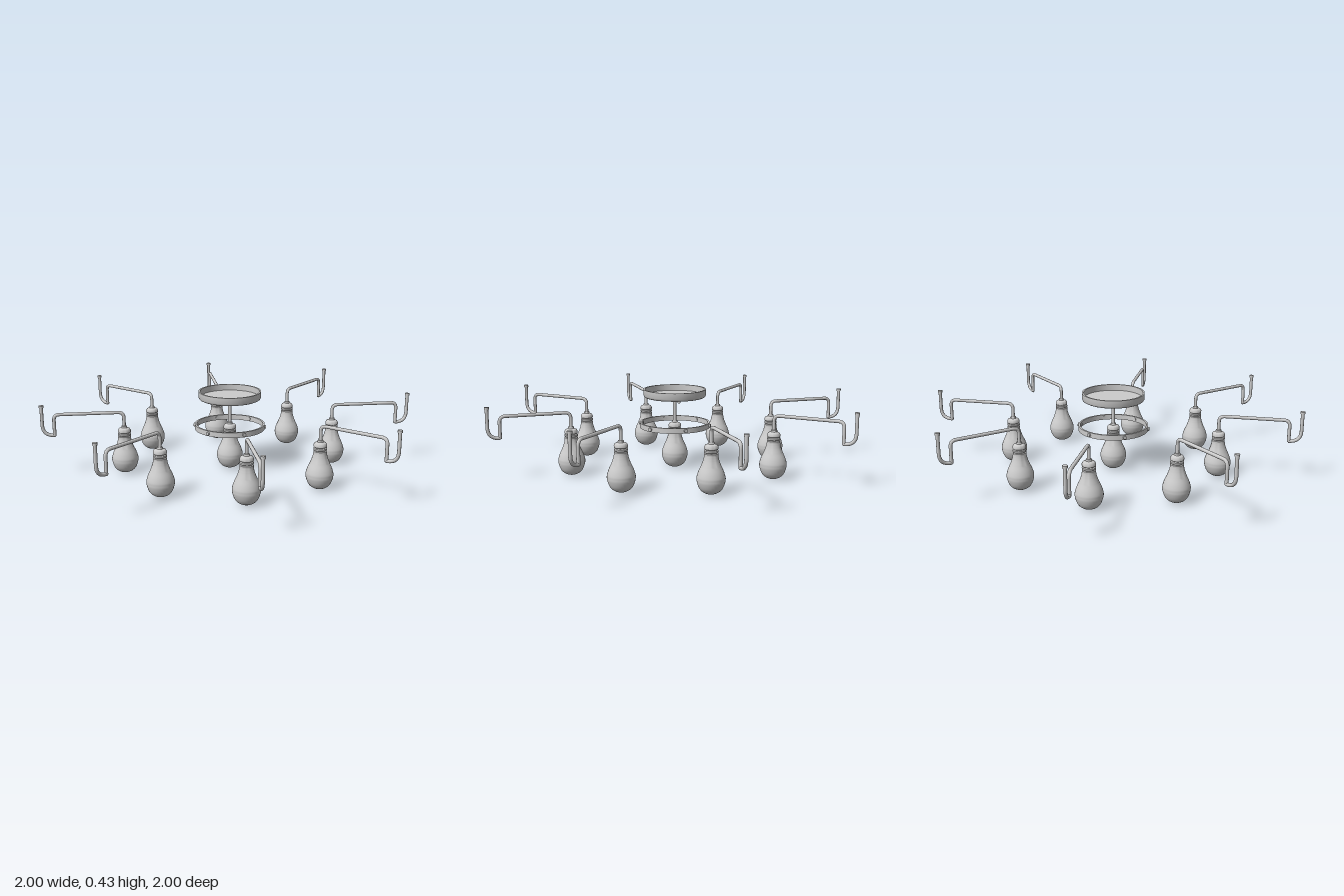
import * as THREE from 'three';
import { toCreasedNormals } from 'three/addons/utils/BufferGeometryUtils.js';

const material = new THREE.MeshStandardMaterial({ color: 0xcccccc, side: THREE.DoubleSide });
const V = (x, y) => new THREE.Vector3(x, y, 0);

function mesh(name, geometry) {
  const m = new THREE.Mesh(geometry, material);
  m.name = name;
  return m;
}

function lathe(name, points, segments = 32) {
  const g = new THREE.LatheGeometry(points.map(([r, y]) => new THREE.Vector2(r, y)), segments);
  return mesh(name, toCreasedNormals(g, 0.7));
}

// Tube through straight runs with rounded corners of radius r
function pipe(name, pts, r, radius = 0.009) {
  const path = new THREE.CurvePath();
  let from = pts[0];
  for (let i = 1; i < pts.length - 1; i++) {
    const a = pts[i].clone().add(pts[i - 1].clone().sub(pts[i]).setLength(r));
    const b = pts[i].clone().add(pts[i + 1].clone().sub(pts[i]).setLength(r));
    path.add(new THREE.LineCurve3(from, a));
    path.add(new THREE.QuadraticBezierCurve3(a, pts[i], b));
    from = b;
  }
  path.add(new THREE.LineCurve3(from, pts[pts.length - 1]));
  return mesh(name, new THREE.TubeGeometry(path, 64, radius, 12));
}

// Bulb with threaded socket, standing on y = 0
function createBulb() {
  const bulb = new THREE.Group();
  bulb.name = 'bulb';
  const glass = new THREE.SplineCurve([
    [0, 0], [0.028, 0.006], [0.055, 0.027], [0.07, 0.07], [0.064, 0.105],
    [0.048, 0.142], [0.038, 0.17], [0.034, 0.19],
  ].map(([r, y]) => new THREE.Vector2(r, y))).getPoints(28).map(p => [Math.max(p.x, 0), p.y]);
  bulb.add(lathe('bulbGlass', glass));
  bulb.add(lathe('socket', [
    [0.034, 0.185], [0.034, 0.2], [0.029, 0.203], [0.034, 0.207], [0.034, 0.215],
    [0.029, 0.219], [0.034, 0.223], [0.034, 0.233], [0.029, 0.242], [0.016, 0.247],
    [0.014, 0.256], [0, 0.256],
  ]));
  return bulb;
}

// One lamp arm reaching out along +x with an upturned hook
function createArm() {
  const arm = new THREE.Group();
  arm.name = 'lampArm';
  const bulb = createBulb();
  bulb.position.x = 0.565;
  arm.add(bulb);
  arm.add(pipe('armTube', [V(0.565, 0.245), V(0.565, 0.33), V(0.927, 0.33), V(0.927, 0.215)], 0.03));
  arm.add(pipe('hook', [V(0.925, 0.218), V(0.988, 0.222), V(0.988, 0.372)], 0.055));
  const tip = mesh('hookTip', new THREE.CylinderGeometry(0.012, 0.012, 0.012, 16));
  tip.position.set(0.988, 0.375, 0);
  arm.add(tip);
  return arm;
}

export function createModel() {
  const model = new THREE.Group();
  model.name = 'chandelier';

  // Ceiling canopy: shallow dish, open at the top
  model.add(lathe('canopy', [
    [0, 0.383], [0.155, 0.383], [0.163, 0.387], [0.167, 0.395], [0.167, 0.427],
    [0.158, 0.427], [0.158, 0.394], [0, 0.394],
  ], 64));
  for (const x of [-0.072, 0.072]) {
    const screw = mesh('canopyScrew', new THREE.CylinderGeometry(0.009, 0.009, 0.025, 12));
    screw.position.set(x, 0.374, 0);
    model.add(screw);
  }

  // Central rod and bulb
  const rod = mesh('centreRod', new THREE.CylinderGeometry(0.009, 0.009, 0.14, 12));
  rod.position.y = 0.317;
  model.add(rod, createBulb());

  // Flat band ring with six screw heads
  model.add(lathe('ring', [
    [0.178, 0.22], [0.188, 0.22], [0.188, 0.248], [0.178, 0.248], [0.178, 0.22],
  ], 64));
  for (let i = 0; i < 6; i++) {
    const a = i * Math.PI / 3;
    const screw = mesh('ringScrew', new THREE.CylinderGeometry(0.01, 0.01, 0.022, 12));
    screw.rotation.set(0, -a, Math.PI / 2);
    screw.position.set(Math.cos(a) * 0.185, 0.234, Math.sin(a) * 0.185);
    model.add(screw);
  }

  // Eight arms around the centre
  for (let i = 0; i < 8; i++) {
    const arm = createArm();
    arm.rotation.y = i * Math.PI / 4;
    model.add(arm);
  }
  return model;
}
